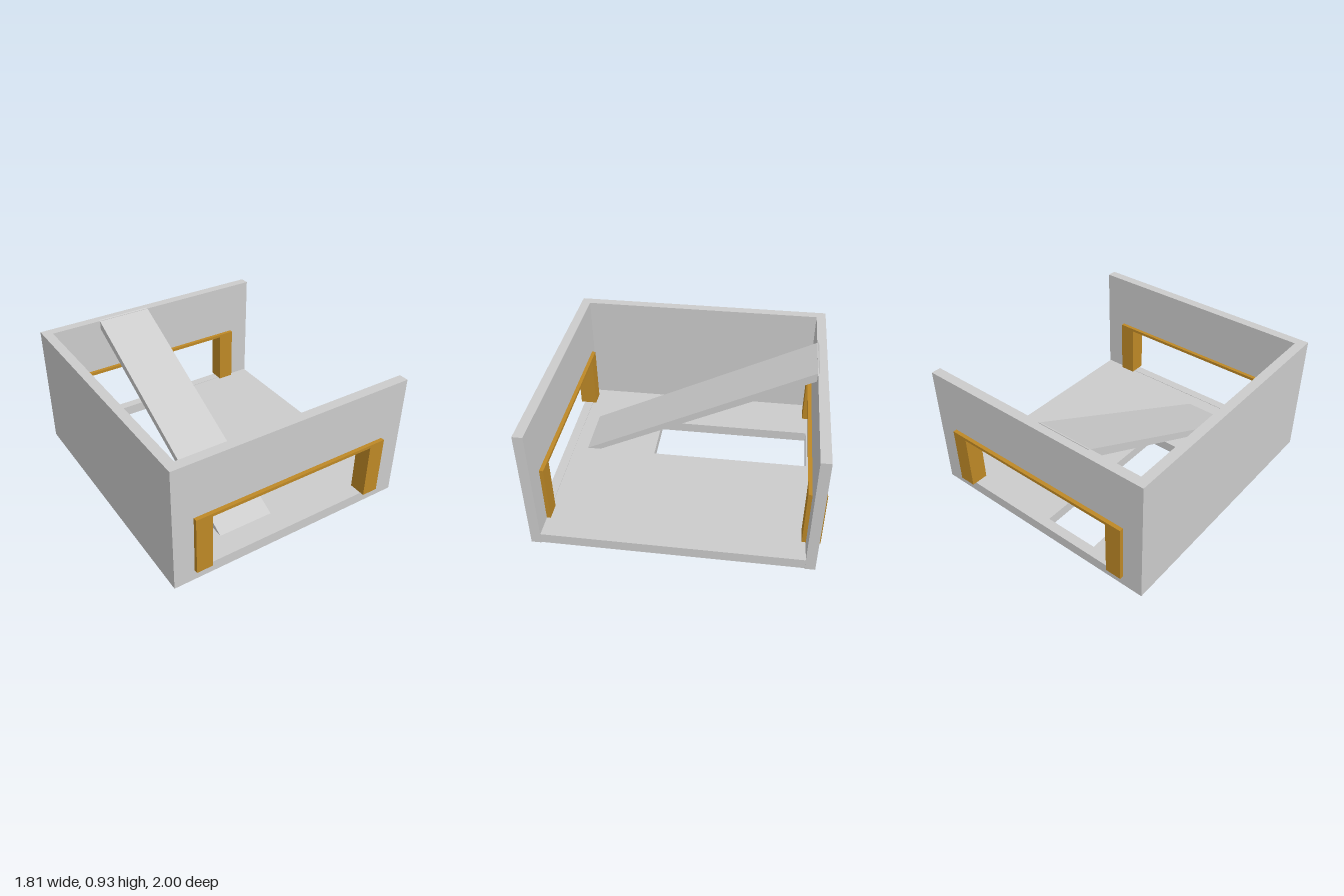
import * as THREE from 'three';

const grey = new THREE.MeshStandardMaterial({ color: 0xcccccc });
const gold = new THREE.MeshStandardMaterial({ color: 0xbd8826 });

// Shape or hole outline from [x, y] corners
const outline = (points, Type = THREE.Shape) =>
  new Type(points.map(([x, y]) => new THREE.Vector2(x, y)));

const rectangle = (x0, y0, x1, y1) => [[x0, y0], [x1, y0], [x1, y1], [x0, y1]];

// Plate extruded along z, centred on its thickness
function plate(name, shape, depth, material) {
  const geometry = new THREE.ExtrudeGeometry(shape, { depth, bevelEnabled: false });
  geometry.translate(0, 0, -depth / 2);
  const mesh = new THREE.Mesh(geometry, material);
  mesh.name = name;
  return mesh;
}

// End wall with a wide opening, lined by a gold frame without a sill
function endWall(name, z) {
  const group = new THREE.Group();
  group.name = name;
  const wall = outline(rectangle(-0.905, 0, 0.905, 0.93));
  wall.holes.push(outline(rectangle(-0.755, 0.08, 0.74, 0.515), THREE.Path));
  const frame = outline([
    [-0.757, 0.08], [-0.64, 0.08], [-0.64, 0.495], [0.62, 0.495],
    [0.62, 0.08], [0.742, 0.08], [0.742, 0.517], [-0.757, 0.517],
  ]);
  group.add(plate('wallPanel', wall, 0.07, grey), plate('openingFrame', frame, 0.126, gold));
  group.position.z = z;
  return group;
}

export function createModel() {
  const model = new THREE.Group();
  model.name = 'rampRoom';

  model.add(endWall('frontWall', 0.937), endWall('backWall', -0.937));

  // Solid side wall
  const side = new THREE.Mesh(new THREE.BoxGeometry(0.07, 0.93, 1.804), grey);
  side.name = 'sideWall';
  side.position.set(-0.87, 0.465, 0);
  model.add(side);

  // Floor with a slot beneath the ramp, open to the back wall (shape y becomes -z)
  const floor = plate('floor', outline([
    [-0.835, -0.902], [0.9, -0.902], [0.9, 0.902], [-0.045, 0.902],
    [-0.045, -0.27], [-0.45, -0.27], [-0.45, 0.902], [-0.835, 0.902],
  ]), 0.077, grey);
  floor.rotation.x = -Math.PI / 2;
  floor.position.y = 0.0385;
  model.add(floor);

  // Ramp rising to the top of the back wall (shape x becomes -z)
  const ramp = plate('ramp', outline([
    [-0.8, 0.077], [-0.7, 0.077], [0.915, 0.868], [0.915, 0.934],
  ]), 0.41, grey);
  ramp.rotation.y = Math.PI / 2;
  ramp.position.x = -0.25;
  model.add(ramp);

  return model;
}
